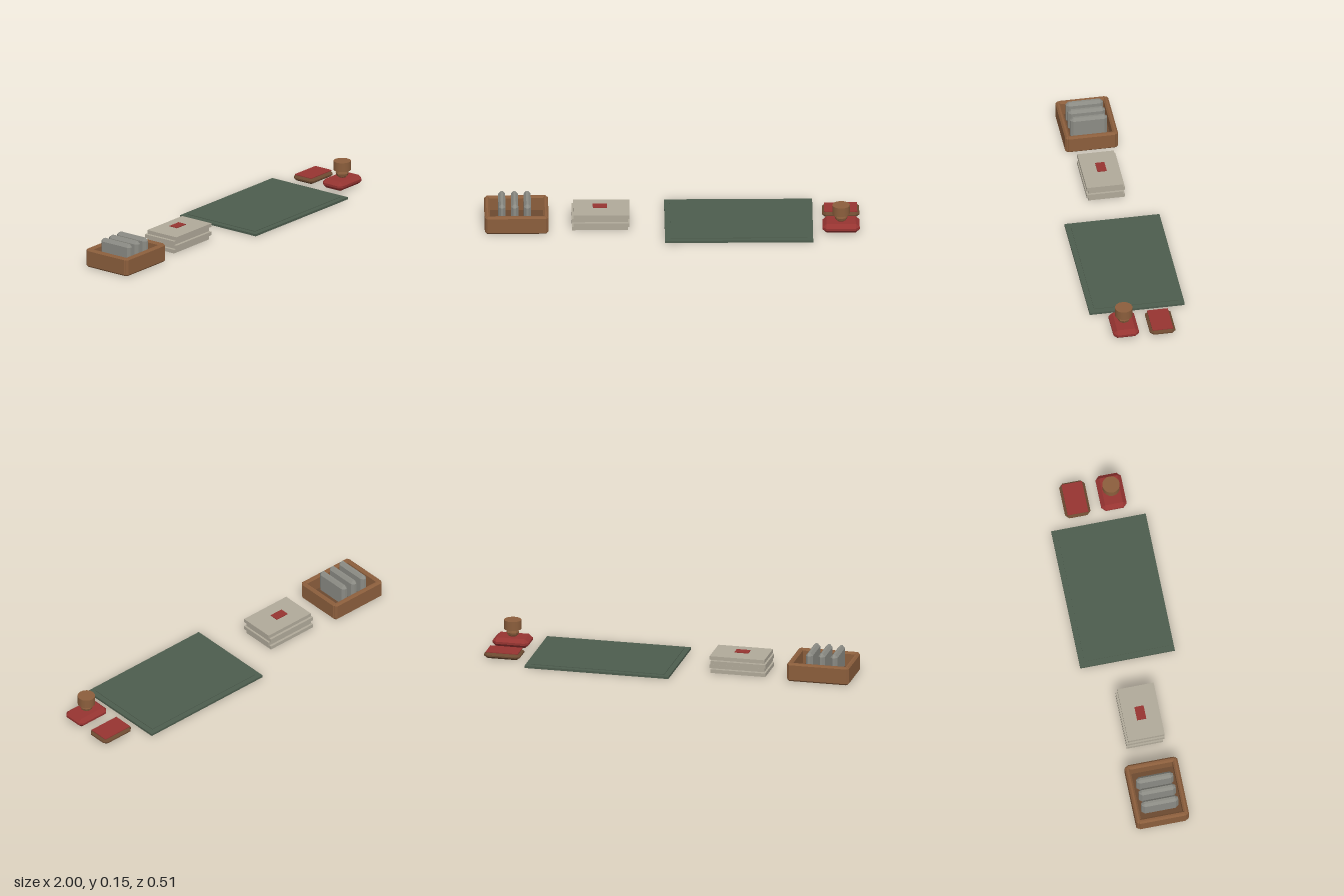
import * as THREE from 'three';
import { ConvexGeometry } from 'three/addons/geometries/ConvexGeometry.js';

const material = (name, color) => {
  const m = new THREE.MeshStandardMaterial({ color });
  m.name = name;
  return m;
};

// Box with chamfered edges; b is the inset along x, y and z
function chamferBox(w, h, d, [bx, by, bz]) {
  const points = [];
  const x = w / 2, y = h / 2, z = d / 2;
  for (const sx of [-1, 1]) for (const sy of [-1, 1]) for (const sz of [-1, 1]) {
    points.push(
      new THREE.Vector3(sx * x, sy * (y - by), sz * (z - bz)),
      new THREE.Vector3(sx * (x - bx), sy * y, sz * (z - bz)),
      new THREE.Vector3(sx * (x - bx), sy * (y - by), sz * z));
  }
  return new ConvexGeometry(points);
}

export function createModel() {
  const wood = material('wood', 0x8b5e3c);
  const darkWood = material('dark wood', 0x6b4930);
  const green = material('mat green', 0x4d5d4e);
  const paper = material('paper', 0xb0a999);
  const grey = material('card grey', 0x8b8b84);
  const red = material('red', 0x963431);
  for (const m of [wood, darkWood, green, paper, grey, red]) m.flatShading = false;

  const model = new THREE.Group();
  model.name = 'deskSet';

  const group = (name, x, z) => {
    const g = new THREE.Group();
    g.name = name;
    g.position.set(x, 0, z);
    model.add(g);
    return g;
  };
  const add = (parent, name, geometry, mat, x, y, z) => {
    const mesh = new THREE.Mesh(geometry, mat);
    mesh.name = name;
    mesh.position.set(x, y, z);
    parent.add(mesh);
    return mesh;
  };
  const box = (w, h, d) => new THREE.BoxGeometry(w, h, d);

  // Open wooden tray with upright cards
  const tray = group('cardTray', -0.83, 0);
  add(tray, 'trayFloor', box(0.32, 0.02, 0.266), darkWood, 0, 0.012, 0);
  const edge = [0.009, 0.009, 0.009];
  for (const s of [-1, 1]) {
    add(tray, s > 0 ? 'frontWall' : 'backWall',
      chamferBox(0.33, 0.1, 0.028, edge), wood, 0, 0.05, s * 0.129);
    add(tray, s > 0 ? 'leftWall' : 'rightWall',
      chamferBox(0.028, 0.1, 0.266, edge), wood, s * 0.156, 0.05, 0);
  }
  for (const i of [-1, 0, 1]) {
    add(tray, 'card', chamferBox(0.038, 0.128, 0.2, [0.013, 0.015, 0.016]),
      grey, -0.01 + i * 0.068, 0.085, 0);
  }

  // Stack of paper bundles, alternately shifted, with a red tag
  const stack = group('paperStack', -0.381, 0);
  for (let i = 0; i < 4; i++) {
    const shift = i % 2 ? 0.004 : -0.004;
    add(stack, 'paperBundle', box(0.3, 0.02, 0.198), paper,
      shift, 0.0105 + i * 0.0235, shift * 1.2);
  }
  add(stack, 'redTag', box(0.076, 0.004, 0.05), red, -0.004, 0.1, 0);

  // Writing mat with a thin raised surface
  const mat = group('writingMat', 0.355, 0);
  add(mat, 'matBase', box(0.79, 0.012, 0.514), green, 0, 0.006, 0);
  add(mat, 'matSurface', box(0.73, 0.004, 0.456), green, 0, 0.0135, 0);

  // Hand stamp: base, neck and turned handle
  const stamp = group('handStamp', 0.9, 0.099);
  add(stamp, 'stampBase', chamferBox(0.198, 0.05, 0.138, [0.021, 0.019, 0.021]), red, 0, 0.03, 0);
  const neck = new THREE.SphereGeometry(0.035, 8, 6).toNonIndexed();
  neck.computeVertexNormals();
  add(stamp, 'stampNeck', neck, wood, 0, 0.077, 0).scale.y = 0.8;
  add(stamp, 'stampHandle', new THREE.CylinderGeometry(0.047, 0.047, 0.05, 16), wood, 0, 0.12, 0);

  // Ink pad with a red inlay
  const pad = group('inkPad', 0.9, -0.098);
  add(pad, 'padCase', chamferBox(0.198, 0.035, 0.138, [0.02, 0.014, 0.02]), darkWood, 0, 0.02, 0);
  add(pad, 'padInlay', box(0.176, 0.004, 0.112), red, 0, 0.037, 0);

  return model;
}
